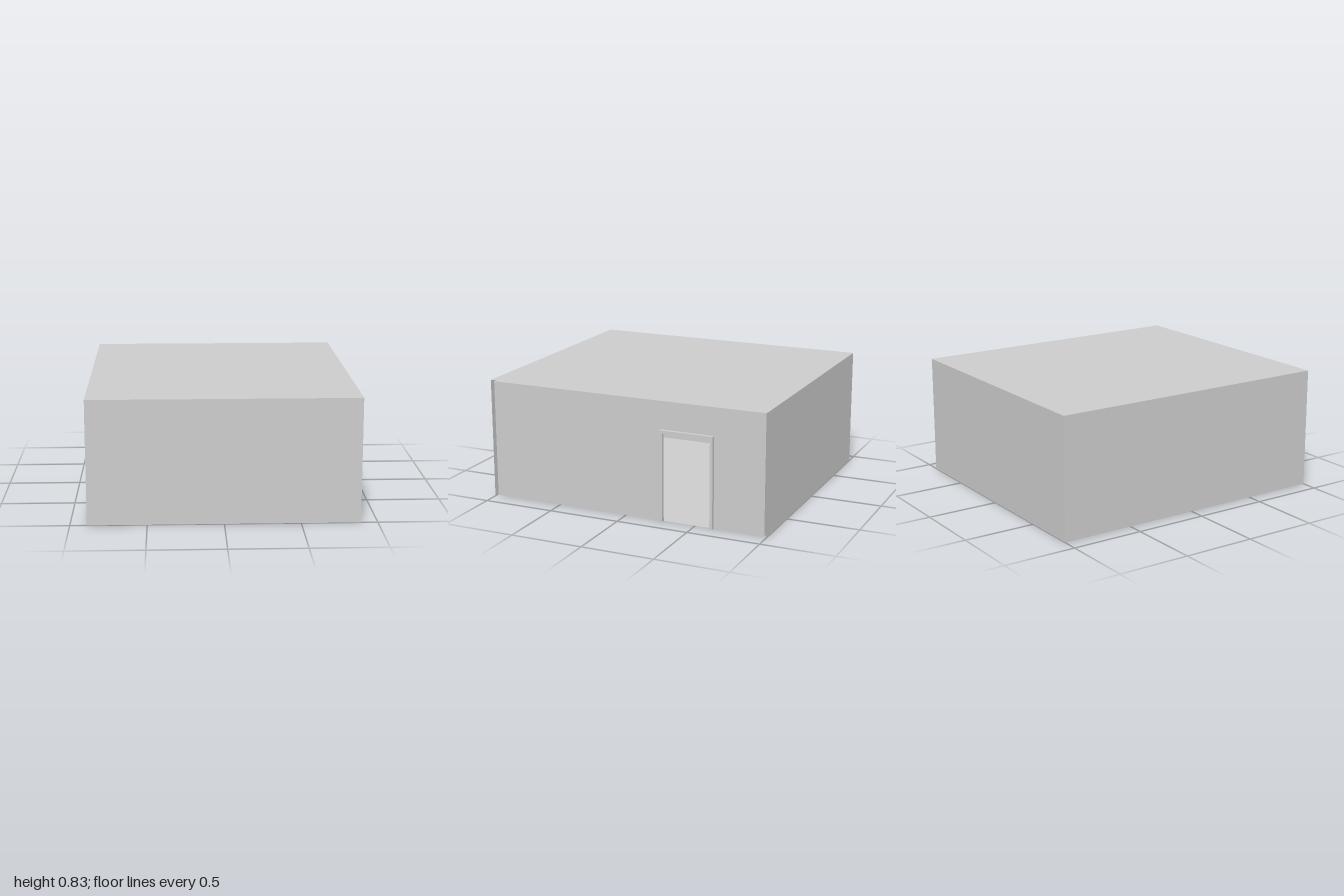
import * as THREE from 'three';

const material = new THREE.MeshStandardMaterial({ color: 0xcccccc, side: THREE.DoubleSide });

// Outer shell: half width, half length, height
const W = 0.89, L = 1, H = 0.83;
// Inner lining bounds
const IN = { x0: -0.87, x1: 0.865, z0: -0.98, z1: 0.99, top: 0.815 };
// Doorway along u = -z: outer frame and clear opening
const FRAME = { a: 0.25, b: 0.63, top: 0.625 };
const OPENING = { a: 0.275, b: 0.61, top: 0.605 };

// Thin panel of width w and height h, turned and placed
function panel(group, name, w, h, pos, rot = [0, 0, 0]) {
  const mesh = new THREE.Mesh(new THREE.PlaneGeometry(w, h), material);
  mesh.name = name;
  mesh.position.set(...pos);
  mesh.rotation.set(...rot);
  group.add(mesh);
}

// Upright outline with a doorway cut from its lower edge
function doorwayShape(a, b, top) {
  const o = OPENING;
  return new THREE.Shape([
    [a, 0], [o.a, 0], [o.a, o.top], [o.b, o.top], [o.b, 0], [b, 0], [b, top], [a, top],
  ].map(([u, y]) => new THREE.Vector2(u, y)));
}

// Places a shape drawn in (-z, y) on the side facing +x
function sideMesh(group, name, geometry, x) {
  geometry.rotateY(Math.PI / 2);
  const mesh = new THREE.Mesh(geometry, material);
  mesh.name = name;
  mesh.position.x = x;
  group.add(mesh);
}

export function createModel() {
  const model = new THREE.Group();
  model.name = 'room';
  const q = Math.PI / 2;

  // Outer shell, open below and on the doorway side
  const shell = new THREE.Group();
  shell.name = 'outerShell';
  panel(shell, 'outerFrontWall', 2 * W, H, [0, H / 2, L]);
  panel(shell, 'outerBackWall', 2 * W, H, [0, H / 2, -L], [0, Math.PI, 0]);
  panel(shell, 'outerSideWall', 2 * L, H, [-W, H / 2, 0], [0, -q, 0]);
  panel(shell, 'roof', 2 * W, 2 * L, [0, H, 0], [-q, 0, 0]);
  model.add(shell);

  // Inner lining, set slightly inside the shell
  const lining = new THREE.Group();
  lining.name = 'innerLining';
  const w = IN.x1 - IN.x0, l = IN.z1 - IN.z0;
  const cx = (IN.x0 + IN.x1) / 2, cz = (IN.z0 + IN.z1) / 2, cy = IN.top / 2;
  panel(lining, 'innerFrontWall', w, IN.top, [cx, cy, IN.z1], [0, Math.PI, 0]);
  panel(lining, 'innerBackWall', w, IN.top, [cx, cy, IN.z0]);
  panel(lining, 'innerSideWall', l, IN.top, [IN.x0, cy, cz], [0, q, 0]);
  panel(lining, 'ceiling', w, l, [cx, IN.top, cz], [q, 0, 0]);
  panel(lining, 'floor', w, l, [cx, 0, cz], [-q, 0, 0]);
  model.add(lining);

  // Recessed wall with the doorway, and the raised frame around it
  sideMesh(model, 'doorwayWall',
    new THREE.ShapeGeometry(doorwayShape(-IN.z1, -IN.z0, IN.top)), IN.x1);
  sideMesh(model, 'doorFrame', new THREE.ExtrudeGeometry(
    doorwayShape(FRAME.a, FRAME.b, FRAME.top),
    { depth: W - IN.x1, bevelEnabled: false }), IN.x1);

  return model;
}
